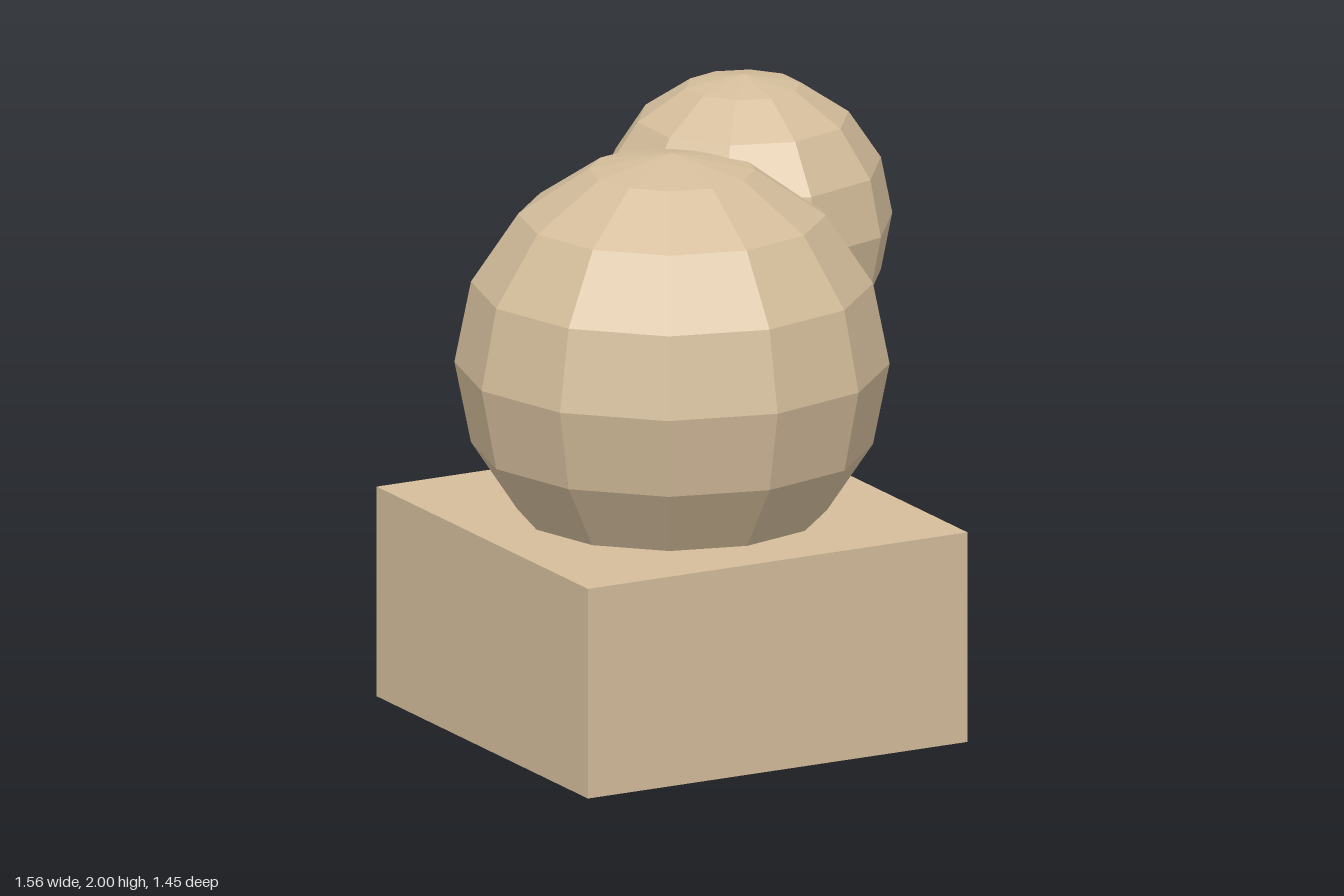
import * as THREE from 'three';

export function createModel() {
  const group = new THREE.Group();
  const material = new THREE.MeshStandardMaterial({ color: 0xd4bd9b, flatShading: true });

  const add = (name, geometry, x, y, z) => {
    const mesh = new THREE.Mesh(geometry, material);
    mesh.name = name;
    mesh.position.set(x, y, z);
    group.add(mesh);
    return mesh;
  };

  // Square plinth
  add('base', new THREE.BoxGeometry(1.376, 0.69, 1.38), -0.092, 0.345, 0.035);

  // Large faceted ball sunk into the plinth
  add('largeBall', new THREE.SphereGeometry(0.69, 12, 8), -0.092, 1.173, 0.035);

  // Small faceted ball merging into the large one, a corner pointing straight back
  const small = add('smallBall', new THREE.SphereGeometry(0.482, 10, 8), 0.32, 1.518, -0.243);
  small.rotation.y = Math.PI / 2;

  return group;
}
